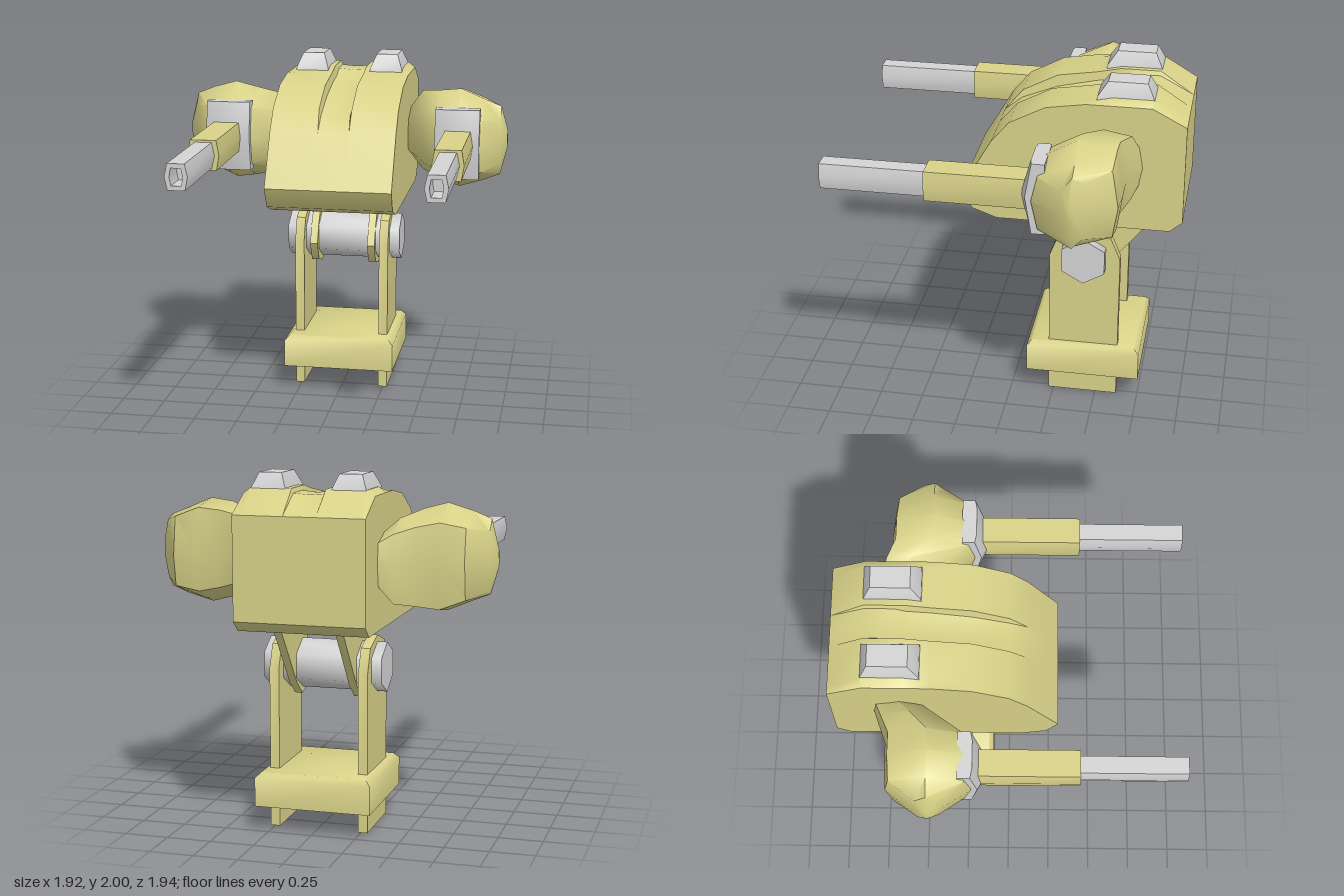
import * as THREE from 'three';
import { toCreasedNormals } from 'three/addons/utils/BufferGeometryUtils.js';

const paint = new THREE.MeshStandardMaterial({ color: 0xd8d288 });
paint.name = 'olive yellow paint';
const metal = new THREE.MeshStandardMaterial({ color: 0xd4d4d4 });
metal.name = 'light grey metal';

function add(parent, name, geometry, material) {
  const mesh = new THREE.Mesh(geometry, material);
  mesh.name = name;
  parent.add(mesh);
  return mesh;
}

// Closed skin over equal-length rings of [x, y, z], with both ends capped.
function loft(rings, crease = 0.7) {
  const n = rings[0].length, pos = rings.flat(2), index = [];
  rings.slice(1).forEach((_, r) => {
    for (let i = 0; i < n; i++) {
      const a = r * n + i, b = r * n + (i + 1) % n;
      index.push(a, b, a + n, b, b + n, a + n);
    }
  });
  [0, rings.length - 1].forEach((r) => {
    const c = pos.length / 3;
    for (let k = 0; k < 3; k++) pos.push(rings[r].reduce((s, p) => s + p[k], 0) / n);
    for (let i = 0; i < n; i++) {
      const a = r * n + i, b = r * n + (i + 1) % n;
      if (r === 0) index.push(c, b, a); else index.push(c, a, b);
    }
  });
  // Turn the faces outwards if the enclosed volume is negative.
  const v = (i) => new THREE.Vector3().fromArray(pos, i * 3);
  let volume = 0;
  for (let i = 0; i < index.length; i += 3) {
    volume += v(index[i]).dot(v(index[i + 1]).cross(v(index[i + 2])));
  }
  if (volume < 0) index.reverse();
  const g = new THREE.BufferGeometry();
  g.setAttribute('position', new THREE.Float32BufferAttribute(pos, 3));
  g.setIndex(index);
  return toCreasedNormals(g, crease);
}

const toShape = (pts) => new THREE.Shape(pts.map((p) => new THREE.Vector2(...p)));

// Side profile of [z, y] points given a thickness along x.
function sidePlate(pts, x, width) {
  const g = new THREE.ExtrudeGeometry(toShape(pts), { depth: width, bevelEnabled: false });
  g.rotateY(-Math.PI / 2).translate(x + width / 2, 0, 0);
  return toCreasedNormals(g, 0.8);
}

// Rectangle ring at height y.
const rect = (x0, x1, z0, z1, y) => [[x0, y, z0], [x1, y, z0], [x1, y, z1], [x0, y, z1]];

// Hull with two humps and a sunken channel; third value is channel depth.
function hull() {
  const profile = [
    [0.07, 1.16, 0], [0.21, 1.21, 0], [0.275, 1.33, 0], [0.21, 1.44, 0], [0.1, 1.63, 0],
    [0, 1.75, 0.05], [-0.2, 1.855, 0.08], [-0.42, 1.89, 0.06], [-0.56, 1.92, 0.07],
    [-0.62, 1.92, 0.03], [-0.78, 1.92, 0.03], [-0.97, 1.79, 0], [-0.97, 1.22, 0], [-0.9, 1.16, 0],
  ];
  const stations = [
    [-0.37, 0, 1.89], [-0.33, 0, 2], [-0.1, 0, 2], [-0.09, 0.8, 2], [-0.005, 1.05, 2],
    [0.08, 0.8, 2], [0.09, 0, 2], [0.32, 0, 2], [0.36, 0, 1.89],
  ];
  return loft(stations.map(([x, sink, top]) =>
    profile.map(([z, y, d]) => [x, Math.min(y - d * sink, top), z])), 0.75);
}

// Gun arm, centred on its own barrel height.
function makeArm(name) {
  const arm = new THREE.Group();
  arm.name = name;

  // Faceted shoulder pod: unit outline scaled into each station's z and y range.
  const outline = [[0, 1], [-0.85, 0.88], [-1, 0], [-0.88, -0.7], [0, -1], [0.85, -0.65], [1, 0], [0.85, 0.6]];
  const stations = [ // x, zMin, zMax, yMin, yMax
    [0.34, -0.745, -0.48, -0.125, 0.115], [0.44, -0.71, -0.35, -0.22, 0.255],
    [0.55, -0.67, -0.2, -0.265, 0.275], [0.68, -0.67, -0.17, -0.3, 0.29],
    [0.82, -0.66, -0.2, -0.26, 0.23], [0.92, -0.5, -0.36, -0.22, 0.19],
    [0.96, -0.45, -0.41, -0.06, 0.05],
  ];
  add(arm, 'shoulderPod', loft(stations.map(([x, z0, z1, y0, y1]) => outline.map(([z, y]) =>
    [x, (y0 + y1) / 2 + y * (y1 - y0) / 2, (z0 + z1) / 2 + z * (z1 - z0) / 2])), 0.85), paint);

  // Gun mount on the front of the pod
  add(arm, 'gunMount', loft([[0.55, 0.03], [0.6, 0], [0.76, 0], [0.81, 0.03]].map(([x, back]) => [
    [x, 0.2, -0.27], [x, 0.2, -0.19 - back / 3], [x, 0, -0.135 - back], [x, -0.21, -0.19 - back / 3], [x, -0.21, -0.27],
  ])), metal);

  // Six-sided sleeve and hollow barrel
  const hexagon = (wide, flat, high) => [
    [wide, 0], [flat, high], [-flat, high], [-wide, 0], [-flat, -high], [flat, -high],
  ];
  const tube = (outer, inner, z0, z1) => {
    const shape = toShape(outer);
    shape.holes.push(new THREE.Path(inner.map((p) => new THREE.Vector2(...p))));
    const g = new THREE.ExtrudeGeometry(shape, { depth: z1 - z0, bevelEnabled: false });
    return toCreasedNormals(g.translate(0.686, -0.005, z0), 0.6);
  };
  const bore = hexagon(0.037, 0.028, 0.048);
  const outer = hexagon(0.064, 0.048, 0.073);
  add(arm, 'gunSleeve', tube(hexagon(0.09, 0.075, 0.086), outer, -0.2, 0.39), paint);
  add(arm, 'gunBarrel', tube(outer, bore, 0.2, 0.97), metal);
  const plug = new THREE.ExtrudeGeometry(toShape(bore), { depth: 0.02, bevelEnabled: false });
  add(arm, 'boreEnd', plug.translate(0.686, -0.005, 0.8), metal);
  return arm;
}

export function createModel() {
  const model = new THREE.Group();
  model.name = 'walkerTurret';

  add(model, 'hull', hull(), paint);

  // Raised sensor blocks on the hull
  for (const [name, x] of [['rightSensor', -0.227], ['leftSensor', 0.22]]) {
    add(model, name, loft([
      rect(x - 0.1, x + 0.1, -0.79, -0.47, 1.88),
      rect(x - 0.095, x + 0.095, -0.785, -0.475, 1.92),
      rect(x - 0.063, x + 0.063, -0.745, -0.53, 2),
    ], 0.6), metal);
  }

  // The right arm is the left one turned half round
  const leftArm = makeArm('leftArm');
  leftArm.position.y = 1.533;
  const rightArm = makeArm('rightArm');
  rightArm.position.set(-0.004, 1.533, 0);
  rightArm.rotation.z = Math.PI;
  model.add(leftArm, rightArm);

  // Hip axle
  const axle = new THREE.CylinderGeometry(0.141, 0.141, 0.68, 6);
  axle.rotateZ(Math.PI / 2).rotateX(Math.PI / 2);
  add(model, 'hipAxle', toCreasedNormals(axle, 1.1), metal).position.set(-0.005, 0.907, -0.42);

  // Upright posts and slanted struts, in pairs
  const post = [
    [-0.22, 0], [-0.22, 0.905], [-0.27, 1.035], [-0.42, 1.085], [-0.57, 1.035], [-0.625, 0.905], [-0.625, 0],
  ];
  const strut = [
    [0.15, 0.5], [-0.15, 0.5], [-0.15, 0], [-0.12, -0.13], [0, -0.18], [0.12, -0.13], [0.15, 0],
  ].map(([w, u]) => [-0.42 - 0.62 * u + 0.78 * w, 0.907 + 0.78 * u + 0.62 * w]);
  for (const [side, s] of [['right', -1], ['left', 1]]) {
    add(model, side + 'Post', sidePlate(post, -0.006 + s * 0.255, 0.054), paint);
    add(model, side + 'Strut', sidePlate(strut, -0.006 + s * 0.174, 0.044), paint);
  }

  // Base block with a chamfered top
  add(model, 'baseBlock', loft([
    rect(-0.335, 0.325, -0.755, -0.095, 0.143),
    rect(-0.335, 0.325, -0.755, -0.095, 0.305),
    rect(-0.305, 0.295, -0.725, -0.125, 0.335),
  ], 0.8), paint);

  return model;
}
